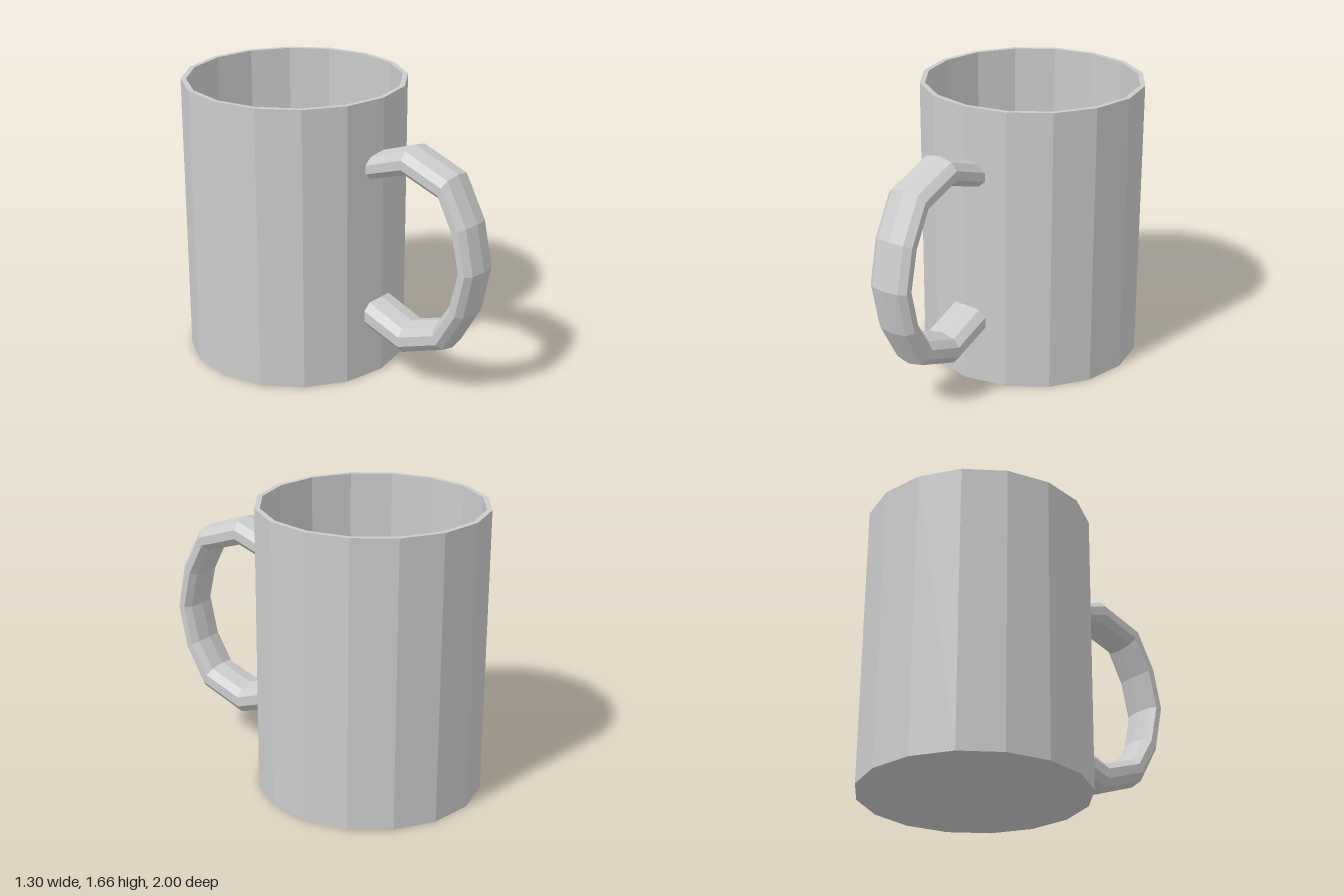
import * as THREE from 'three';

const material = new THREE.MeshStandardMaterial({ color: 0xcccccc, flatShading: true });

// Sixteen-sided cup: underside, outer wall, rim, inner wall and floor in one profile
function makeCup() {
  const profile = [[0, 0], [0.65, 0], [0.65, 1.66], [0.62, 1.66], [0.62, 0.04], [0, 0.04]]
    .map(([r, y]) => new THREE.Vector2(r, y));
  const cup = new THREE.Mesh(new THREE.LatheGeometry(profile, 16), material);
  cup.name = 'cup';
  cup.position.z = -0.35;
  return cup;
}

// Ten-sided handle, swept between an outer and an inner curve in the yz plane
function makeHandle() {
  // Each station: outer z, outer y, inner z, inner y
  const stations = [
    [0.272, 1.35, 0.272, 1.19], [0.52, 1.44, 0.52, 1.27], [0.81, 1.335, 0.745, 1.195],
    [0.945, 1.085, 0.83, 1.03], [1.0, 0.82, 0.88, 0.82], [0.945, 0.55, 0.83, 0.61],
    [0.81, 0.31, 0.735, 0.46], [0.52, 0.2, 0.52, 0.385], [0.272, 0.28, 0.272, 0.48],
  ];
  // Section: half width, and share of the way from the outer to the inner curve
  const half = [[0, 0], [0.087, 0.1], [0.125, 0.35], [0.125, 0.67], [0.087, 0.9], [0, 1]];
  const section = [...half, ...half.slice(1, 5).reverse().map(([x, t]) => [-x, t])];

  const n = section.length;
  const positions = [];
  const index = [];
  stations.forEach(([zo, yo, zi, yi], i) => {
    section.forEach(([x, t], j) => {
      positions.push(x, yo + (yi - yo) * t, zo + (zi - zo) * t);
      if (i === stations.length - 1) return;
      const a = i * n + j, d = i * n + (j + 1) % n;
      index.push(a, a + n, d + n, a, d + n, d);
    });
  });
  const geometry = new THREE.BufferGeometry();
  geometry.setAttribute('position', new THREE.Float32BufferAttribute(positions, 3));
  geometry.setIndex(index);
  geometry.computeVertexNormals();
  const handle = new THREE.Mesh(geometry, material);
  handle.name = 'handle';
  return handle;
}

export function createModel() {
  const mug = new THREE.Group();
  mug.name = 'mug';
  mug.add(makeCup(), makeHandle());
  return mug;
}
